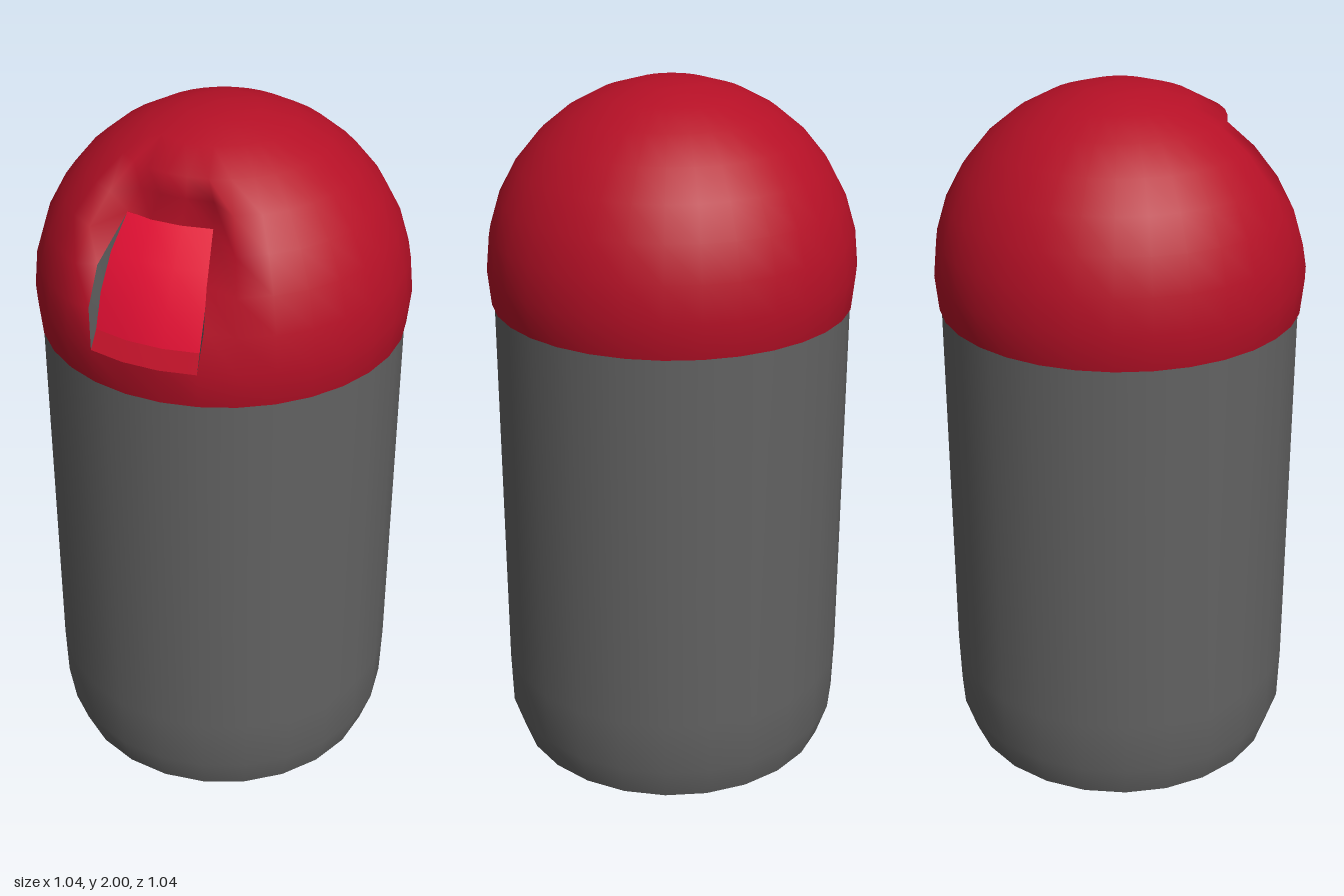
import * as THREE from 'three';

const R = 0.52, CY = 1.48, SEG = 32, RINGS = 16;
const I0 = 5, I1 = 8, J0 = 5, J1 = 8; // grid cells taken up by the recess

const mat = (name, color) => {
  const m = new THREE.MeshStandardMaterial({ color, side: THREE.DoubleSide });
  m.name = name;
  return m;
};

// Point on the dome's sphere at column i, ring j
function spherePoint(i, j) {
  const u = (i / SEG) * Math.PI * 2, v = (j / RINGS) * Math.PI;
  return new THREE.Vector3(
    -R * Math.cos(u) * Math.sin(v), CY + R * Math.cos(v), R * Math.sin(u) * Math.sin(v));
}

// Dome surface, pushed inwards around the recess
function domePoint(i, j) {
  const p = spherePoint(i, j);
  const push = { 4: -0.083, 5: -0.135, 6: -0.06, 7: -0.03 }[j];
  if (i >= I0 && i <= I1 && push) {
    p.z += push;
    p.x += i === I0 ? (j > 5 ? -0.015 : 0.02) : 0.012;
    if (j === 5) p.y += 0.01;
  }
  return p;
}

// Sunken panel, deeper towards its top
function panelPoint(i, j) {
  const p = spherePoint(i, j), t = (J1 - j) / (J1 - J0);
  p.x += 0.016 * t;
  p.y += 0.02 - 0.01 * t;
  p.z -= 0.074 + 0.061 * t;
  return p;
}

// Surface through a grid of points, leaving out the cells that skip() picks
function grid(point, i0, i1, j0, j1, skip = () => false) {
  const pos = [], index = [], w = i1 - i0 + 1;
  for (let j = j0; j <= j1; j++)
    for (let i = i0; i <= i1; i++) pos.push(...point(i, j).toArray());
  for (let j = j0; j < j1; j++)
    for (let i = i0; i < i1; i++) {
      if (skip(i, j)) continue;
      const b = (j - j0) * w + i - i0, a = b + 1, c = b + w, d = c + 1;
      if (point(i, j).distanceTo(point(i + 1, j)) > 1e-6) index.push(a, b, d);
      index.push(b, c, d);
    }
  const g = new THREE.BufferGeometry();
  g.setAttribute('position', new THREE.Float32BufferAttribute(pos, 3));
  g.setIndex(index);
  g.computeVertexNormals();
  return g;
}

export function createModel() {
  const group = new THREE.Group();
  const grey = mat('body grey', 0x626262);
  const red = mat('dome red', 0xb51026);
  const bright = mat('panel red', 0xe81035);
  const add = (name, geometry, material) => {
    const m = new THREE.Mesh(geometry, material);
    m.name = name;
    group.add(m);
    return m;
  };

  // Body with a rounded-in foot
  const profile = [[0.465, 0], [0.498, 0.1], [0.503, 0.26], [0.505, 1.4]]
    .map(([x, y]) => new THREE.Vector2(x, y));
  add('body', new THREE.LatheGeometry(profile, 24), grey);
  const base = add('base', new THREE.CircleGeometry(0.465, 24), grey);
  base.rotation.set(Math.PI / 2, 0, Math.PI / 2);

  // Dome with an opening; exact sphere normals away from the recess
  const dome = grid(domePoint, 0, SEG, 0, 9,
    (i, j) => i >= I0 && i < I1 && j >= J0 && j < J1);
  const n = dome.attributes.normal;
  for (let j = 0; j <= 9; j++)
    for (let i = 0; i <= SEG; i++) {
      if (i > 3 && i < 10 && j > 2 && j < 9) continue;
      const v = spherePoint(i, j);
      v.y -= CY;
      v.normalize();
      n.setXYZ(j * (SEG + 1) + i, v.x, v.y, v.z);
    }
  add('dome', dome, red);

  // Panel, the ledge below it and the side walls of the recess
  add('panel', grid(panelPoint, I0, I1, J0, J1), bright);
  add('ledge', grid((i, j) => (j ? domePoint : panelPoint)(i, J1), I0, I1, 0, 1), red);
  add('rightWall', grid((i, j) => (i ? panelPoint : domePoint)(I0, j), 0, 1, J0, J1), grey);
  add('leftWall', grid((i, j) => (i ? domePoint : panelPoint)(I1, j), 0, 1, J0, J1), grey);

  return group;
}
